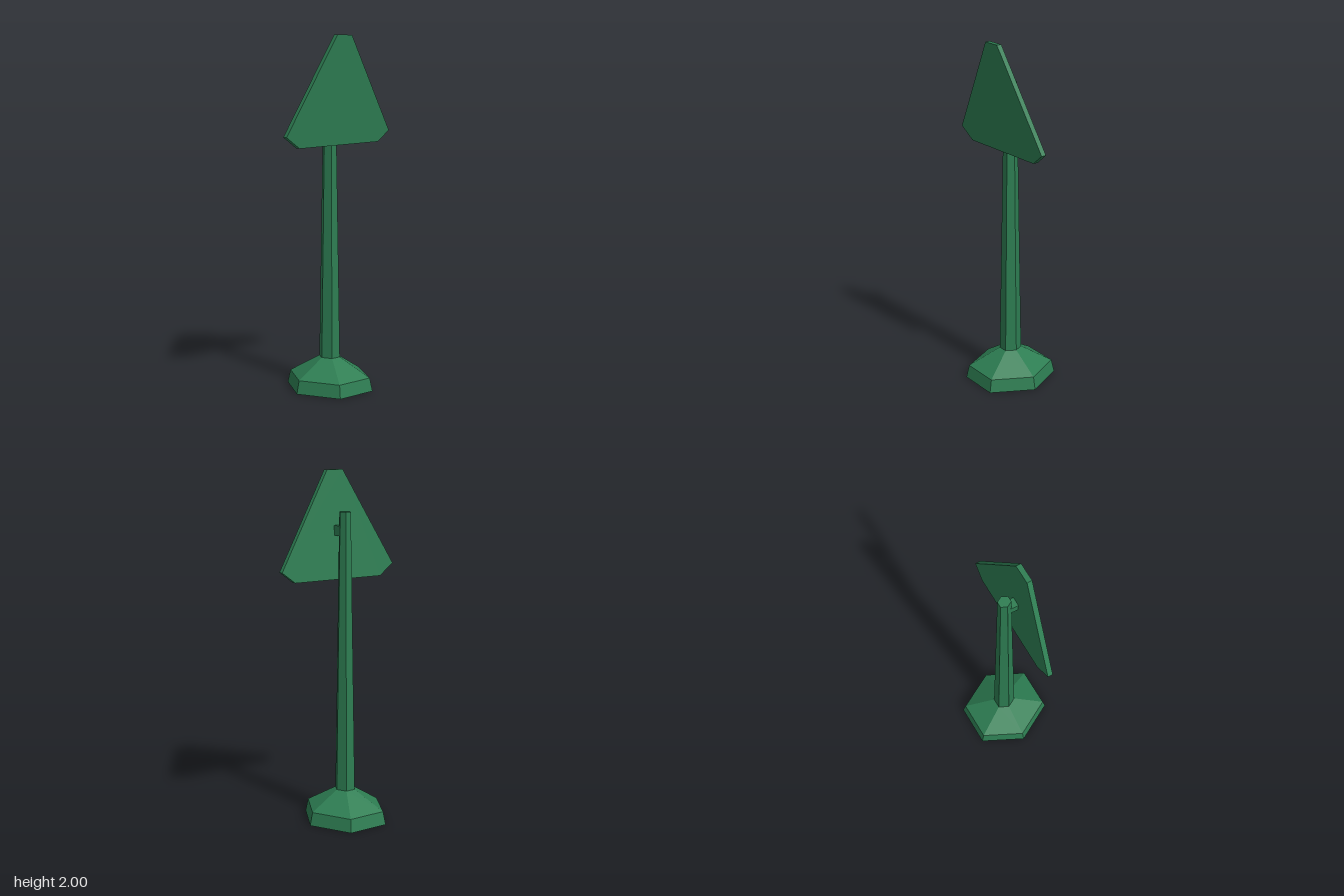
import * as THREE from 'three';

export function createModel() {
  const group = new THREE.Group();
  const material = new THREE.MeshStandardMaterial({
    color: 0x2d7d52, flatShading: true, side: THREE.DoubleSide,
  });
  const add = (name, geometry) => {
    const mesh = new THREE.Mesh(geometry, material);
    mesh.name = name;
    group.add(mesh);
    return mesh;
  };
  const axisX = -0.008;

  // Six-sided turned parts, with corners on the x axis and stretched a little in z
  const hexTurned = (profile) => new THREE.LatheGeometry(
    profile.map(([r, y]) => new THREE.Vector2(r, y)), 6, Math.PI / 2)
    .scale(1, 1, 1.11).translate(axisX, 0, 0);

  // Flared foot, hollow underneath
  add('base', hexTurned([[0.242, 0], [0.226, 0.075], [0.058, 0.18]]));

  // Tapered post with a flat top
  add('post', hexTurned([[0.058, 0.18], [0.033, 1.775], [0, 1.775]]));

  // Triangular panel with clipped corners, leaning forward towards the top
  const outline = new THREE.Shape([
    [-0.06, 2], [-0.375, 1.455], [-0.28, 1.39],
    [0.295, 1.398], [0.375, 1.46], [0.045, 2],
  ].map(([x, y]) => new THREE.Vector2(x, y)));
  const panel = new THREE.ExtrudeGeometry(outline, { depth: 0.029, bevelEnabled: false });
  const p = panel.attributes.position;
  for (let i = 0; i < p.count; i++) {
    p.setZ(i, p.getZ(i) + 0.04 + 0.095 * (p.getY(i) - 1.39));
  }
  add('signPanel', panel);

  // Bracket between post and panel, wider at the panel
  const bracket = new THREE.BoxGeometry(0.05, 0.055, 0.055);
  const b = bracket.attributes.position;
  for (let i = 0; i < b.count; i++) {
    b.setX(i, b.getX(i) * (b.getZ(i) > 0 ? 1.1 : 0.88));
  }
  add('bracket', bracket).position.set(axisX, 1.667, 0.045);

  return group;
}
